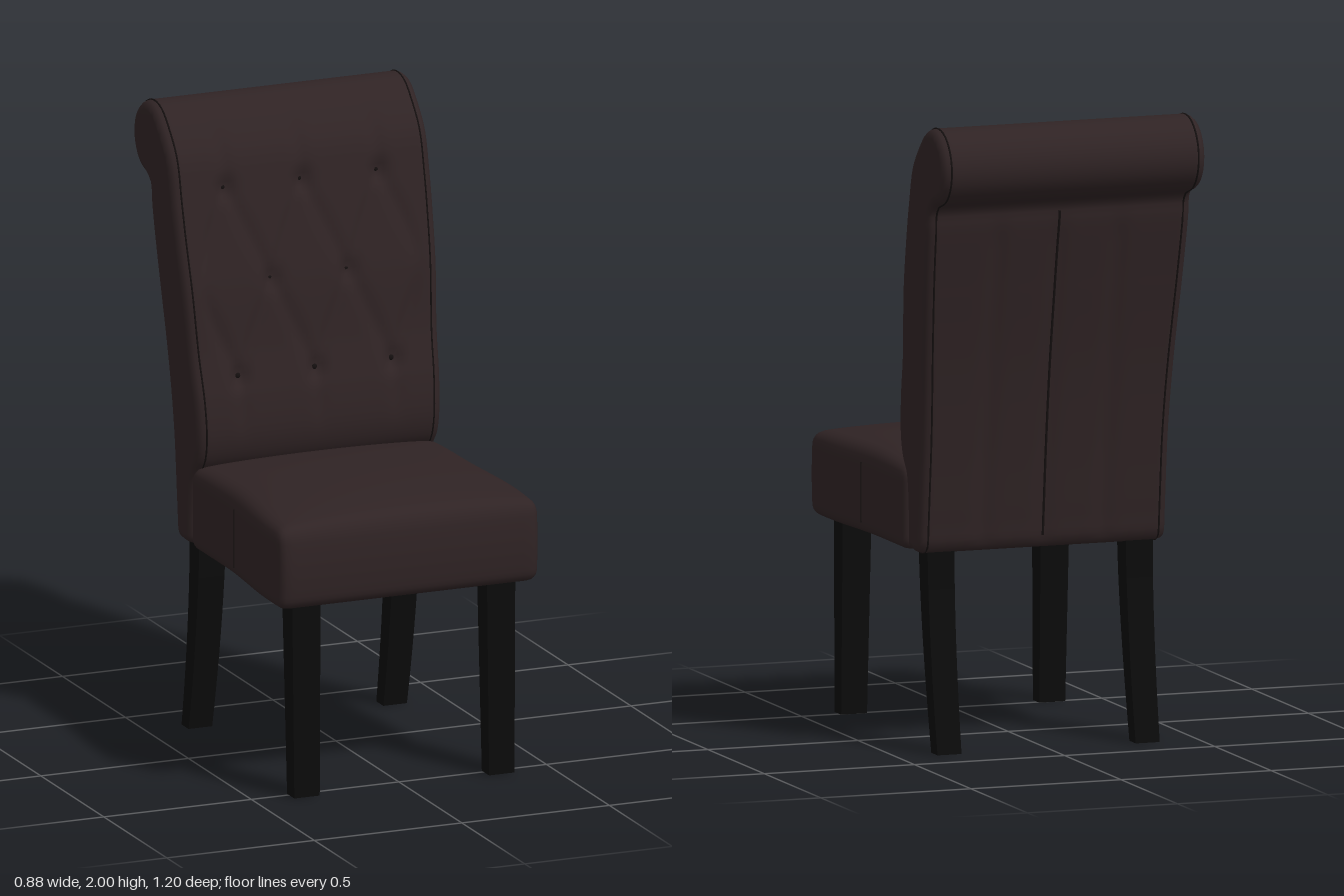
import * as THREE from 'three';
import { mergeVertices } from 'three/addons/utils/BufferGeometryUtils.js';

const { clamp, smoothstep } = THREE.MathUtils;
const material = (name, color) => {
  const m = new THREE.MeshStandardMaterial({ color });
  m.name = name;
  return m;
};

function addMesh(parent, name, geometry, mat) {
  const mesh = new THREE.Mesh(geometry, mat);
  mesh.name = name;
  parent.add(mesh);
  return mesh;
}

// Moves every vertex by a rule, then welds and smooths
function reshape(geometry, rule, smooth = true) {
  const p = geometry.attributes.position, v = new THREE.Vector3();
  for (let i = 0; i < p.count; i++) {
    v.fromBufferAttribute(p, i);
    rule(v);
    p.setXYZ(i, v.x, v.y, v.z);
  }
  if (smooth) {
    geometry.deleteAttribute('uv');
    geometry.deleteAttribute('normal');
    geometry = mergeVertices(geometry, 1e-4);
  }
  geometry.computeVertexNormals();
  return geometry;
}

// ---- Backrest: a rolled side profile, lofted across the width ----
const N = 150;
function backProfile() {
  const pts = [[-0.195, 0.64], [-0.19, 0.75], [-0.175, 0.86], [-0.14, 0.91], [-0.122, 0.98], [-0.13, 1.1],
    [-0.165, 1.25], [-0.195, 1.45], [-0.235, 1.62], [-0.262, 1.73], [-0.3, 1.86]];
  // scroll at the top
  for (let a = 138; a >= -95; a -= 20) {
    const t = a * Math.PI / 180;
    pts.push([-0.474 - 0.122 * Math.cos(t), 1.877 + 0.122 * Math.sin(t)]);
  }
  pts.push([-0.462, 1.735], [-0.456, 1.68], [-0.42, 1.48], [-0.375, 1.22], [-0.34, 0.95],
    [-0.317, 0.72], [-0.308, 0.65], [-0.29, 0.63], [-0.21, 0.63]);
  const curve = new THREE.CatmullRomCurve3(pts.map(([z, y]) => new THREE.Vector3(0, y, z)), true, 'centripetal');
  return curve.getSpacedPoints(N).slice(0, N);
}
const profile = backProfile();
const normals = profile.map((p, i) => {
  const t = profile[(i + 1) % N].clone().sub(profile[(i + N - 1) % N]).normalize();
  return new THREE.Vector3(0, -t.z, t.y);
});
const halfWidth = (y) => 0.412 + 0.027 * smoothstep(y, 0.9, 1.75);

const buttons = [[0, 1.17], [0.26, 1.17], [-0.26, 1.17], [0.13, 1.46], [-0.13, 1.46],
  [0, 1.75], [0.26, 1.75], [-0.26, 1.75]];

// Depth of the diamond tufting on the front and the pleats on the rear
function tuftDepth(x, y, nz) {
  const edge = 1 - smoothstep(Math.abs(x), 0.33, 0.39);
  const groove = (d, w) => Math.exp(-(d * d) / (w * w));
  if (nz > 0.4) {
    let depth = 0;
    for (const [bx, by] of buttons) depth += 0.017 * groove(Math.hypot(x - bx, y - by), 0.03);
    const u = x / 0.13, v = (y - 1.17) / 0.29;
    const off = (s) => Math.abs(s - 2 * Math.round(s / 2)) * 0.12;
    const inside = smoothstep(y, 1.12, 1.2) * (1 - smoothstep(y, 1.72, 1.8));
    depth += 0.009 * inside * Math.max(groove(off(u + v), 0.025), groove(off(u - v), 0.025));
    const pleat = Math.abs(x - 0.26 * Math.round(x / 0.26));
    const low = smoothstep(y, 0.95, 1.1) * (1 - smoothstep(y, 1.14, 1.22));
    const high = smoothstep(y, 1.7, 1.8) * (1 - smoothstep(y, 1.85, 1.95));
    depth += 0.006 * (low + high) * groove(pleat, 0.025);
    return depth * edge * smoothstep(nz, 0.4, 0.7);
  }
  if (nz < -0.6 && y < 1.74) {
    const pleat = Math.min(Math.abs(x), Math.abs(Math.abs(x) - 0.2));
    return 0.006 * groove(pleat, 0.03) * (1 - smoothstep(y, 1.6, 1.74));
  }
  return 0;
}

function backrestGeometry() {
  // each column: [side fraction, distance in from the widest point, inset of the profile]
  const columns = [[-1, 0, 0.026], [-1, 0.005, 0.013], [-1, 0.015, 0.004], [-1, 0.03, 0]];
  for (let i = 1; i < 64; i++) columns.push([i / 32 - 1, 0.03, 0]);
  columns.push([1, 0.03, 0], [1, 0.015, 0.004], [1, 0.005, 0.013], [1, 0, 0.026]);
  const pos = [], index = [];
  for (const [f, back, inset] of columns) {
    profile.forEach((p, j) => {
      const x = f * (halfWidth(p.y) - back), n = normals[j];
      const d = inset + tuftDepth(x, p.y, n.z);
      pos.push(x, p.y - n.y * d, p.z - n.z * d);
    });
  }
  for (let i = 0; i < columns.length - 1; i++) {
    for (let j = 0; j < N; j++) {
      const a = i * N + j, b = i * N + (j + 1) % N;
      index.push(a, a + N, b + N, a, b + N, b);
    }
  }
  // closed ends
  const last = (columns.length - 1) * N;
  const outline = [];
  for (let k = N - 1; k >= 0; k--) outline.push(new THREE.Vector2(-pos[(last + k) * 3 + 2], pos[(last + k) * 3 + 1]));
  for (const face of THREE.ShapeUtils.triangulateShape(outline, [])) {
    const [a, b, c] = face.map((k) => N - 1 - k);
    index.push(last + a, last + b, last + c, a, c, b);
  }
  const g = new THREE.BufferGeometry();
  g.setAttribute('position', new THREE.Float32BufferAttribute(pos, 3));
  g.setIndex(index);
  g.computeVertexNormals();
  return g;
}

// ---- Seat: rounded block, wider at the front and crowned on top ----
const seatWidth = (z) => 0.417 + 0.024 * smoothstep(z, 0.08, 0.48);
function seatGeometry() {
  const h = new THREE.Vector3(0.42, 0.13, 0.385), r = 0.034;
  const inner = h.clone().subScalar(r), c = new THREE.Vector3();
  return reshape(new THREE.BoxGeometry(0.84, 0.26, 0.77, 44, 18, 44), (v) => {
    c.copy(v).clamp(inner.clone().negate(), inner);
    v.sub(c).normalize().multiplyScalar(r).add(c);
    const fx = 1 - (v.x / h.x) ** 2, fz = 1 - (v.z / h.z) ** 2;
    const side = 1 - (v.y / h.y) ** 2;
    if (v.y > 0.09) v.y += 0.05 * Math.sqrt(Math.max(0, fx * fz)) * smoothstep(v.y, 0.09, 0.13);
    if (v.z > 0.3) v.z += 0.012 * side * smoothstep(v.z, 0.3, 0.385);
    v.z += 0.2;
    v.x *= seatWidth(v.z) / h.x;
    v.y += 0.752;
  });
}

// ---- Tapered leg with its centre line given by a rule ----
function legGeometry(top, bottom, centreZ) {
  const g = new THREE.BoxGeometry(1, 1, 1, 1, 10, 1).toNonIndexed();
  return reshape(g, (v) => {
    const t = 0.5 - v.y;
    v.x *= THREE.MathUtils.lerp(top[0], bottom[0], t);
    v.z = v.z * THREE.MathUtils.lerp(top[1], bottom[1], t) + centreZ(t);
    v.y = 0.64 * (1 - t);
  }, false);
}

const tube = (points, radius, closed = false) =>
  new THREE.TubeGeometry(new THREE.CatmullRomCurve3(points, closed, 'centripetal'), points.length * 2, radius, 5, closed);

export function createModel() {
  const model = new THREE.Group();
  model.name = 'diningChair';
  const leather = material('dark brown leather', 0x2f2324);
  const seam = material('dark seam', 0x151010);
  const wood = material('black wood', 0x0b0b0b);
  const lining = material('olive lining', 0x2e2718);

  addMesh(model, 'backrest', backrestGeometry(), leather);
  addMesh(model, 'seat', seatGeometry(), leather);
  addMesh(model, 'seatLining', new THREE.BoxGeometry(0.7, 0.008, 0.66), lining).position.set(0, 0.621, 0.19);

  // welts along both edges of the backrest
  for (const s of [-1, 1]) {
    const path = profile.filter((p, i) => i % 2 === 0)
      .map((p) => new THREE.Vector3(s * (halfWidth(p.y) - 0.028), p.y, p.z));
    addMesh(model, s > 0 ? 'leftBackWelt' : 'rightBackWelt', tube(path, 0.003, true), seam);
  }

  // centre seam on the rear
  const rear = [];
  profile.forEach((p, i) => {
    if (normals[i].z < -0.6 && p.y < 1.72 && p.y > 0.65) {
      rear.push(new THREE.Vector3(0, p.y, p.z + 0.006 * (1 - smoothstep(p.y, 1.6, 1.74))));
    }
  });
  addMesh(model, 'rearSeam', tube(rear, 0.004), seam);

  // flat side seams of the seat
  for (const s of [-1, 1]) {
    addMesh(model, 'seatSideSeam', new THREE.BoxGeometry(0.004, 0.19, 0.004), seam)
      .position.set(s * seatWidth(0.18), 0.752, 0.18);
  }

  // tufting buttons, set into the front of the backrest
  buttons.forEach(([x, y]) => {
    let best = 0;
    profile.forEach((p, i) => {
      if (normals[i].z > 0.4 && Math.abs(p.y - y) < Math.abs(profile[best].y - y)) best = i;
    });
    const b = addMesh(model, 'button', new THREE.SphereGeometry(0.009, 10, 6), seam);
    b.scale.z = 0.5;
    b.position.set(x, y, profile[best].z - clamp(tuftDepth(x, y, normals[best].z), 0, 0.03));
  });

  // legs
  const front = legGeometry([0.096, 0.08], [0.086, 0.058], (t) => 0.499 + 0.016 * t);
  const back = legGeometry([0.09, 0.078], [0.08, 0.056], (t) => -0.245 - 0.086 * t ** 1.6);
  for (const s of [-1, 1]) {
    const side = s > 0 ? 'left' : 'right';
    addMesh(model, side + 'FrontLeg', front, wood).position.x = s * 0.33;
    addMesh(model, side + 'BackLeg', back, wood).position.x = s * 0.33;
  }
  return model;
}
